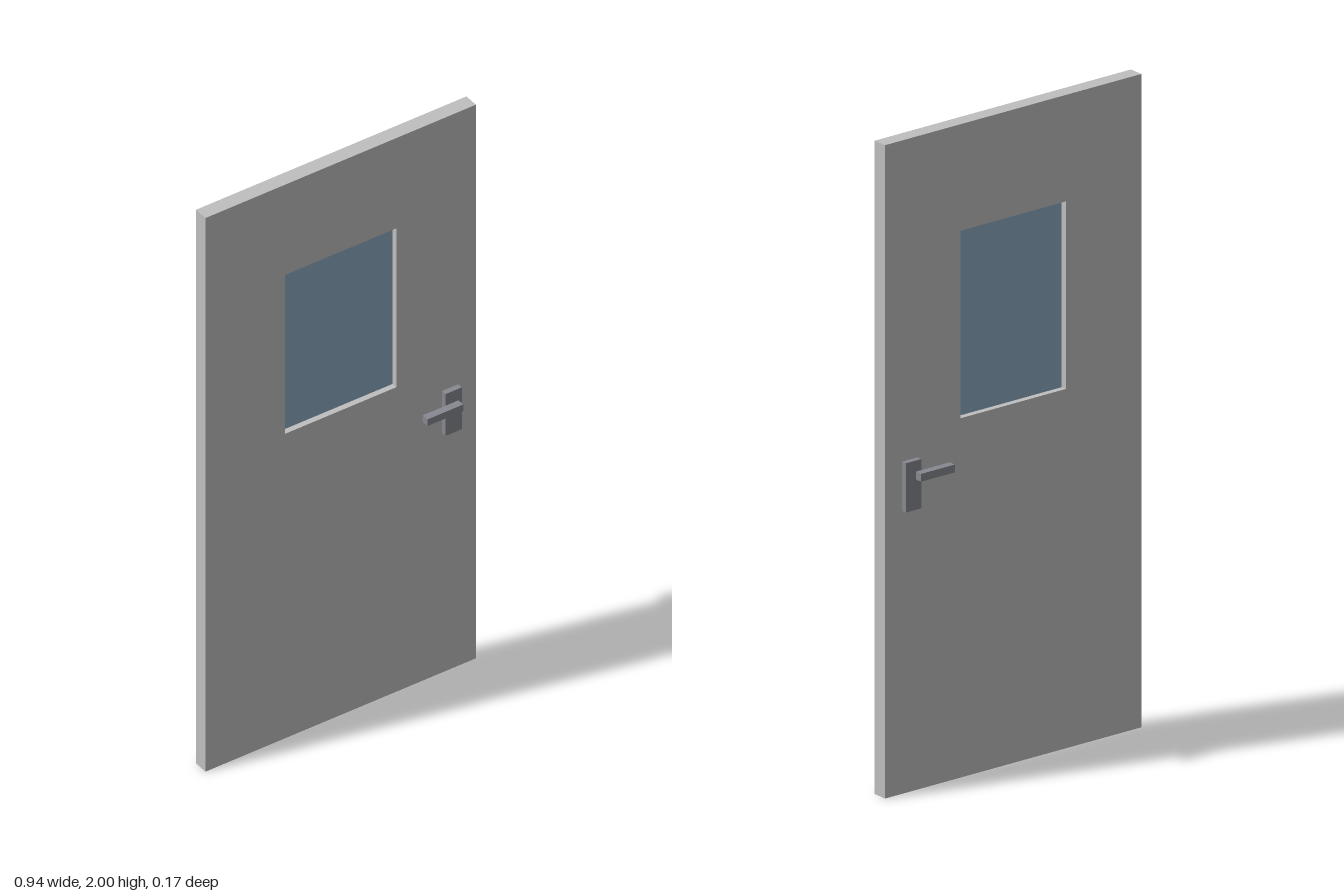
import * as THREE from 'three';

const material = (name, color) => {
  const m = new THREE.MeshStandardMaterial({ color });
  m.name = name;
  return m;
};

// Box given by its min and max corners
function box(name, [x0, y0, z0], [x1, y1, z1], mat) {
  const mesh = new THREE.Mesh(new THREE.BoxGeometry(x1 - x0, y1 - y0, z1 - z0), mat);
  mesh.position.set((x0 + x1) / 2, (y0 + y1) / 2, (z0 + z1) / 2);
  mesh.name = name;
  return mesh;
}

function rectangle(Type, x0, y0, x1, y1) {
  return new Type([[x0, y0], [x1, y0], [x1, y1], [x0, y1]].map(p => new THREE.Vector2(...p)));
}

export function createModel() {
  const paint = material('grey paint', 0xbfbfbf);
  const glass = material('blue glass', 0x8aaac0);
  const metal = material('handle metal', 0x888991);
  const door = new THREE.Group();
  door.name = 'door';

  // Door leaf with a window opening
  const depth = 0.048;
  const outline = rectangle(THREE.Shape, -0.472, 0, 0.472, 2);
  outline.holes.push(rectangle(THREE.Path, -0.194, 1.1, 0.194, 1.674));
  const leafGeometry = new THREE.ExtrudeGeometry(outline, { depth, bevelEnabled: false });
  leafGeometry.translate(0, 0, -depth / 2);
  const leaf = new THREE.Mesh(leafGeometry, paint);
  leaf.name = 'doorLeaf';
  door.add(leaf);

  // Pane recessed in the middle of the opening
  door.add(box('windowPane', [-0.194, 1.1, -0.005], [0.194, 1.674, 0.005], glass));

  // Back plate and lever on both faces
  for (const [side, s] of [['front', 1], ['back', -1]]) {
    const handle = new THREE.Group();
    handle.name = side + 'Handle';
    const span = (a, b) => (s > 0 ? [a, b] : [-b, -a]);
    const [p0, p1] = span(depth / 2, 0.042);
    const [l0, l1] = span(0.059, 0.083);
    handle.add(box('backPlate', [0.353, 0.866, p0], [0.41, 1.017, p1], metal));
    handle.add(box('lever', [0.262, 0.967, l0], [0.387, 0.991, l1], metal));
    door.add(handle);
  }
  return door;
}
